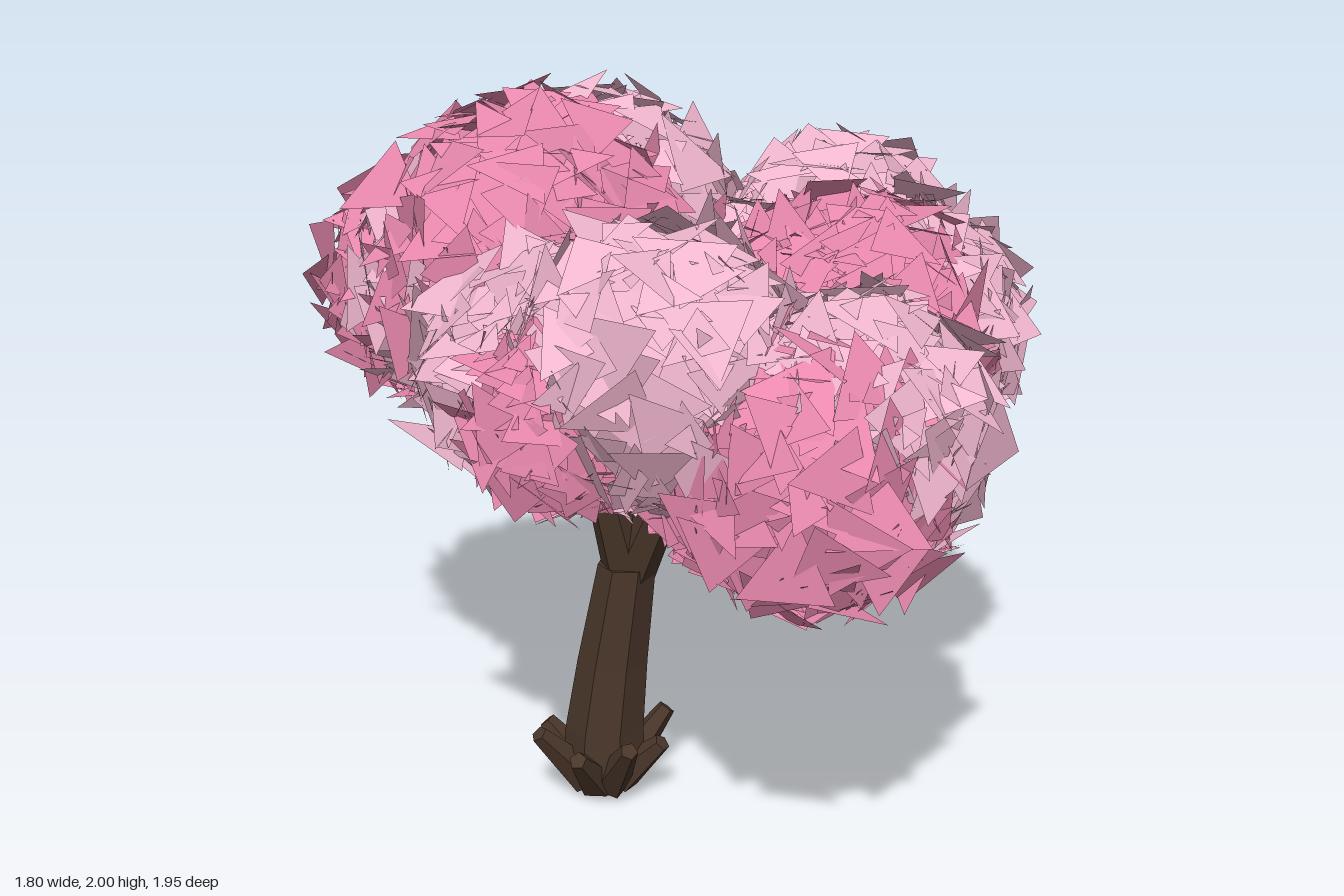
import * as THREE from 'three';

// Small seeded generator so the foliage is repeatable
function seeded(seed) {
  return () => {
    seed = (seed * 1664525 + 1013904223) % 4294967296;
    return seed / 4294967296;
  };
}

const paint = (color, side = THREE.FrontSide) =>
  new THREE.MeshStandardMaterial({ color, side, flatShading: true });

// Foliage clumps: x, y, z, radius
const paleClumps = [
  [-0.50, 1.46, -0.40, 0.34], [-0.17, 1.53, -0.45, 0.40], [-0.30, 1.42, 0.31, 0.36],
  [-0.46, 1.37, 0.0, 0.35], [0.10, 1.29, 0.56, 0.34], [0.48, 1.41, -0.28, 0.36],
  [0.49, 1.33, 0.01, 0.35], [0.18, 1.29, -0.28, 0.35],
];
const rosyClumps = [
  [-0.41, 1.55, -0.29, 0.42], [-0.02, 1.22, 0.58, 0.36], [-0.49, 1.33, 0.24, 0.26],
  [0.32, 1.36, 0.10, 0.37], [0.10, 1.29, 0.12, 0.36], [-0.53, 1.42, -0.58, 0.34],
  [-0.20, 1.40, -0.42, 0.39], [-0.05, 1.20, 0.38, 0.33],
];
const clumps = [...paleClumps, ...rosyClumps];

// Loose triangular leaves laid over one clump, skipping those buried in others
function leafShell(clump, random) {
  const [cx, cy, cz, r] = clump;
  const center = new THREE.Vector3(cx, cy, cz);
  const positions = [];
  const count = 280;
  for (let i = 0; i < count; i++) {
    const h = 1 - (2 * (i + 0.5)) / count;
    const ring = Math.sqrt(1 - h * h);
    const turn = i * 2.39996 + random() * 0.5;
    const out = new THREE.Vector3(ring * Math.cos(turn), h, ring * Math.sin(turn));
    const p = center.clone().addScaledVector(out, r * (0.84 + random() * 0.14));
    const buried = clumps.some((c) => c !== clump &&
      p.distanceTo(new THREE.Vector3(c[0], c[1], c[2])) < c[3] * 0.7);
    if (buried) continue;
    // Tilt each leaf a little away from the tangent plane
    const tilt = () => (random() - 0.5) * 0.95;
    const normal = out.clone().add(new THREE.Vector3(tilt(), tilt(), tilt())).normalize();
    const facing = new THREE.Quaternion().setFromUnitVectors(new THREE.Vector3(0, 0, 1), normal);
    const size = 0.08 + random() * 0.06;
    const spin = random() * Math.PI * 2;
    for (let k = 0; k < 3; k++) {
      const a = spin + (k * Math.PI * 2) / 3 + (random() - 0.5) * 0.6;
      const corner = new THREE.Vector3(Math.cos(a) * size, Math.sin(a) * size, 0);
      corner.applyQuaternion(facing).add(p);
      positions.push(corner.x, corner.y, corner.z);
    }
  }
  const geometry = new THREE.BufferGeometry();
  geometry.setAttribute('position', new THREE.Float32BufferAttribute(positions, 3));
  geometry.computeVertexNormals();
  return geometry;
}

// Tapered limb between two points
function limb(name, from, to, r0, r1, sides, material) {
  const a = new THREE.Vector3(...from);
  const b = new THREE.Vector3(...to);
  const direction = b.clone().sub(a);
  const mesh = new THREE.Mesh(new THREE.CylinderGeometry(r1, r0, direction.length(), sides), material);
  mesh.position.copy(a).add(b).multiplyScalar(0.5);
  mesh.quaternion.setFromUnitVectors(new THREE.Vector3(0, 1, 0), direction.normalize());
  mesh.name = name;
  return mesh;
}

// Leaning trunk lofted through rings: x, y, z, radius
function trunkGeometry() {
  const rings = [
    [-0.275, 0.01, -0.17, 0.05], [-0.28, 0.09, -0.17, 0.118], [-0.275, 0.22, -0.17, 0.11],
    [-0.25, 0.42, -0.165, 0.098], [-0.213, 0.71, -0.14, 0.08],
  ];
  const sides = 7;
  const geometry = new THREE.CylinderGeometry(1, 1, 1, sides, rings.length - 1);
  const pos = geometry.attributes.position;
  for (let i = 0; i < pos.count; i++) {
    const level = Math.round((pos.getY(i) + 0.5) * (rings.length - 1));
    const [x, y, z, r] = rings[level];
    pos.setXYZ(i, x + pos.getX(i) * r, y, z + pos.getZ(i) * r);
  }
  geometry.computeVertexNormals();
  return geometry;
}

export function createModel() {
  const tree = new THREE.Group();
  tree.name = 'blossomTree';
  const bark = paint(0x49362a);

  // Trunk and forked branches
  const wood = new THREE.Group();
  wood.name = 'wood';
  const trunk = new THREE.Mesh(trunkGeometry(), bark);
  trunk.name = 'trunk';
  wood.add(trunk);
  const branchEnds = [[-0.05, 1.0, -0.28], [-0.32, 1.1, -0.10], [-0.11, 1.08, 0.02]];
  branchEnds.forEach((end) => {
    wood.add(limb('branch', [-0.21, 0.66, -0.14], end, 0.066, 0.046, 6, bark));
  });

  // Upturned root stubs around the base, alternating long and short
  for (let i = 0; i < 8; i++) {
    const a = (i * Math.PI) / 4;
    const at = (d, y) => [-0.28 + Math.cos(a) * d, y, -0.17 + Math.sin(a) * d];
    const tip = i % 2 ? at(0.175, 0.19) : at(0.19, 0.225);
    wood.add(limb('root', at(0.05, 0.06), tip, 0.055, 0.025, 5, bark));
  }
  tree.add(wood);

  // Blossom clumps: a faceted core under a layer of leaves
  const random = seeded(17);
  const addClumps = (list, name, color) => {
    const leafMaterial = paint(color, THREE.DoubleSide);
    list.forEach((clump) => {
      const [x, y, z, r] = clump;
      const group = new THREE.Group();
      group.name = name;
      const core = new THREE.Mesh(new THREE.IcosahedronGeometry(r * 0.87, 1), leafMaterial);
      core.position.set(x, y, z);
      core.name = 'clumpCore';
      const leaves = new THREE.Mesh(leafShell(clump, random), leafMaterial);
      leaves.name = 'leaves';
      group.add(core, leaves);
      tree.add(group);
    });
  };
  addClumps(paleClumps, 'paleClump', 0xf0b6ce);
  addClumps(rosyClumps, 'rosyClump', 0xe888ad);

  return tree;
}
